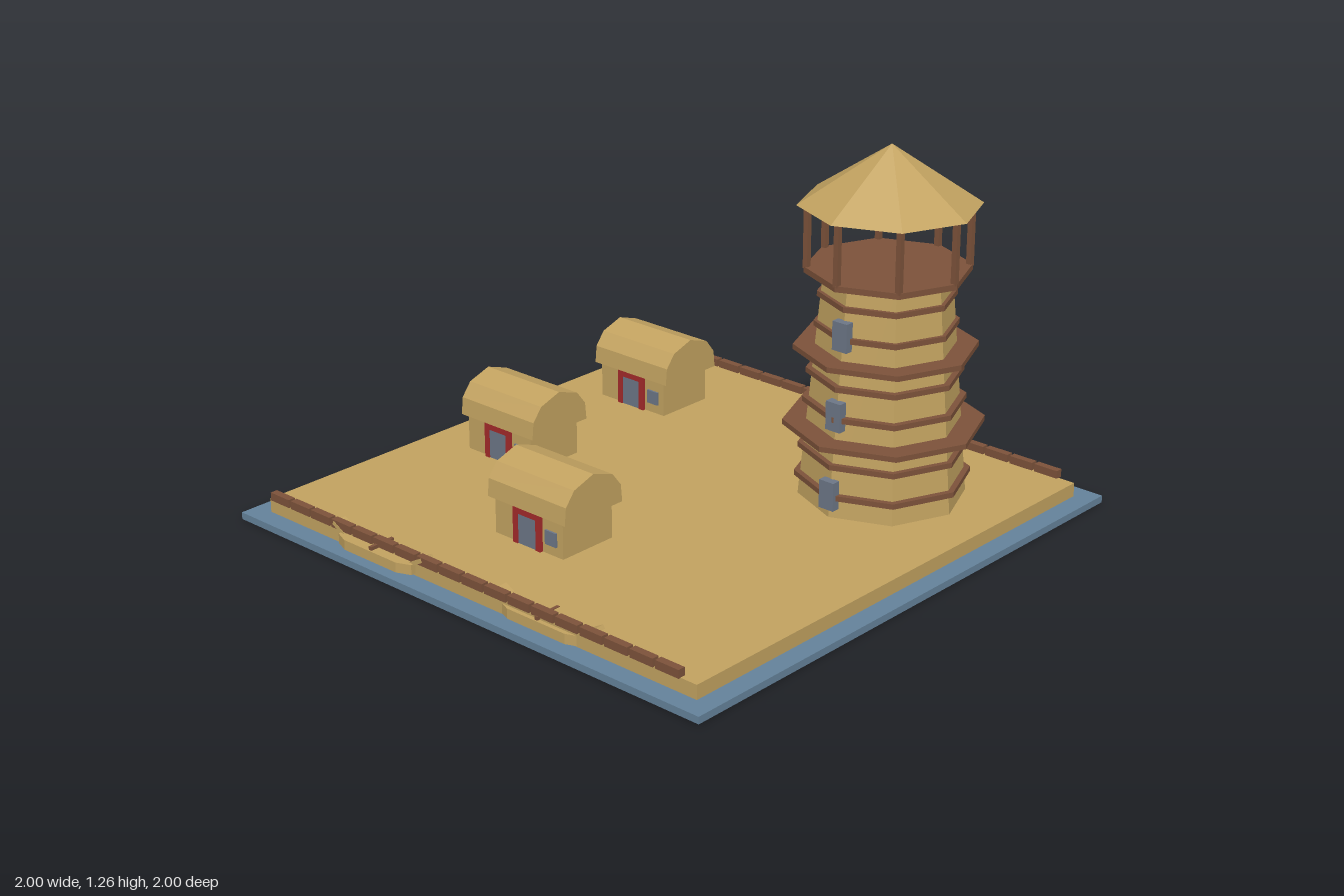
import * as THREE from 'three';

const mat = (name, color) => {
  const m = new THREE.MeshStandardMaterial({ color, flatShading: true });
  m.name = name;
  return m;
};

export function createModel() {
  const sand = mat('sand and straw', 0xc2a260);
  const water = mat('water', 0x64829a);
  const wood = mat('dark wood', 0x7c523a);
  const red = mat('red frame', 0xa32a2a);
  const slate = mat('slate', 0x6c7686);
  const model = new THREE.Group();
  model.name = 'watchtowerVillage';

  const add = (parent, name, geo, material, x, y, z) => {
    const mesh = new THREE.Mesh(geo, material);
    mesh.name = name;
    mesh.position.set(x, y, z);
    parent.add(mesh);
    return mesh;
  };
  const box = (parent, name, w, h, d, material, x, y, z) =>
    add(parent, name, new THREE.BoxGeometry(w, h, d), material, x, y, z);
  const octagon = (parent, name, rTop, rBottom, y0, y1, material) =>
    add(parent, name, new THREE.CylinderGeometry(rTop, rBottom, y1 - y0, 8), material, 0, (y0 + y1) / 2, 0);
  const group = (name, x, z) => {
    const g = new THREE.Group();
    g.name = name;
    g.position.set(x, 0, z);
    model.add(g);
    return g;
  };

  // Water slab with the raised island
  box(model, 'water', 2, 0.024, 2, water, 0, 0.012, 0);
  box(model, 'island', 1.865, 0.048, 1.865, sand, 0, 0.048, 0);

  // Low log fences along the front and back
  for (const [name, z] of [['frontFence', 0.927], ['backFence', -0.934]]) {
    const fence = group(name, 0, z);
    for (let i = 0; i < 18; i++)
      box(fence, 'fenceLog', 0.09, 0.028, 0.026, wood, -0.875 + i * 0.1, 0.085, 0);
  }

  // Octagonal tower with wooden hoops and two wide walkways
  const tower = group('tower', 0.5, -0.455);
  octagon(tower, 'towerBody', 0.207, 0.276, 0.07, 0.84, sand);
  const hoops = [
    [0.145, 0.289], [0.245, 0.278], [0.325, 0.33], [0.405, 0.267],
    [0.505, 0.257], [0.585, 0.3], [0.665, 0.235], [0.765, 0.226],
  ];
  for (const [y, r] of hoops)
    octagon(tower, r >= 0.3 ? 'walkway' : 'hoop', r, r, y - 0.009, y + 0.009, wood);
  octagon(tower, 'lookoutFloor', 0.27, 0.27, 0.836, 0.856, wood);
  for (let i = 0; i < 8; i++) {
    const a = (i * Math.PI) / 4;
    box(tower, 'roofPost', 0.018, 0.21, 0.018, wood, 0.26 * Math.sin(a), 0.955, 0.26 * Math.cos(a));
  }
  add(tower, 'towerRoof', new THREE.ConeGeometry(0.297, 0.197, 8), sand, 0, 1.158, 0);
  for (const [y, z] of [[0.152, 0.275], [0.415, 0.25], [0.678, 0.226]])
    box(tower, 'towerWindow', 0.058, 0.097, 0.03, slate, 0, y, z);

  // Huts with faceted barrel roofs
  const half = [[0.128, 0.195], [0.122, 0.255], [0.085, 0.302]];
  const outline = [...half, [0, 0.33], ...half.map(([u, y]) => [-u, y]).reverse()];
  const roofShape = new THREE.Shape(outline.map(([u, y]) => new THREE.Vector2(u, y)));
  const roofGeo = new THREE.ExtrudeGeometry(roofShape, { depth: 0.34, bevelEnabled: false });
  roofGeo.translate(0, 0, -0.17).rotateY(Math.PI / 2);
  for (const [x, z] of [[-0.605, -0.557], [-0.605, 0.095], [-0.055, 0.5]]) {
    const hut = group('hut', x, z);
    box(hut, 'hutWalls', 0.298, 0.135, 0.218, sand, 0, 0.135, 0.007);
    add(hut, 'hutRoof', roofGeo, sand, 0, 0, 0);
    // Door with a red frame: two jambs and a lintel
    for (const s of [-1, 1])
      box(hut, 'doorJamb', 0.02, 0.125, 0.016, red, s * 0.05, 0.1325, 0.12);
    box(hut, 'doorLintel', 0.08, 0.02, 0.016, red, 0, 0.185, 0.12);
    box(hut, 'door', 0.08, 0.105, 0.008, slate, 0, 0.1225, 0.12);
    box(hut, 'hutWindow', 0.048, 0.048, 0.008, slate, 0.1, 0.13, 0.119);
  }

  // Shallow boats beached in the front shore
  const hullShape = new THREE.Shape([
    [-0.17, -0.03], [-0.12, -0.05], [0.12, -0.05], [0.17, -0.03],
    [0.17, 0.03], [0.12, 0.05], [-0.12, 0.05], [-0.17, 0.03],
  ].map(([u, v]) => new THREE.Vector2(u, v)));
  const hullGeo = new THREE.ExtrudeGeometry(hullShape, { depth: 0.034, bevelEnabled: false });
  hullGeo.rotateX(-Math.PI / 2);
  for (const [x, y, z] of [[-0.405, 0.032, 0.92], [0.305, 0.026, 0.897]]) {
    const boat = group('boat', x, z);
    add(boat, 'hull', hullGeo, sand, 0, y, 0);
    box(boat, 'thwart', 0.012, 0.012, 0.095, wood, 0, y + 0.042, 0);
    for (const s of [-1, 1]) {
      const tip = box(boat, 'raisedEnd', 0.06, 0.014, 0.05, sand, s * 0.18, y + 0.043, -0.004);
      tip.rotation.z = s * 0.5;
    }
  }

  return model;
}
